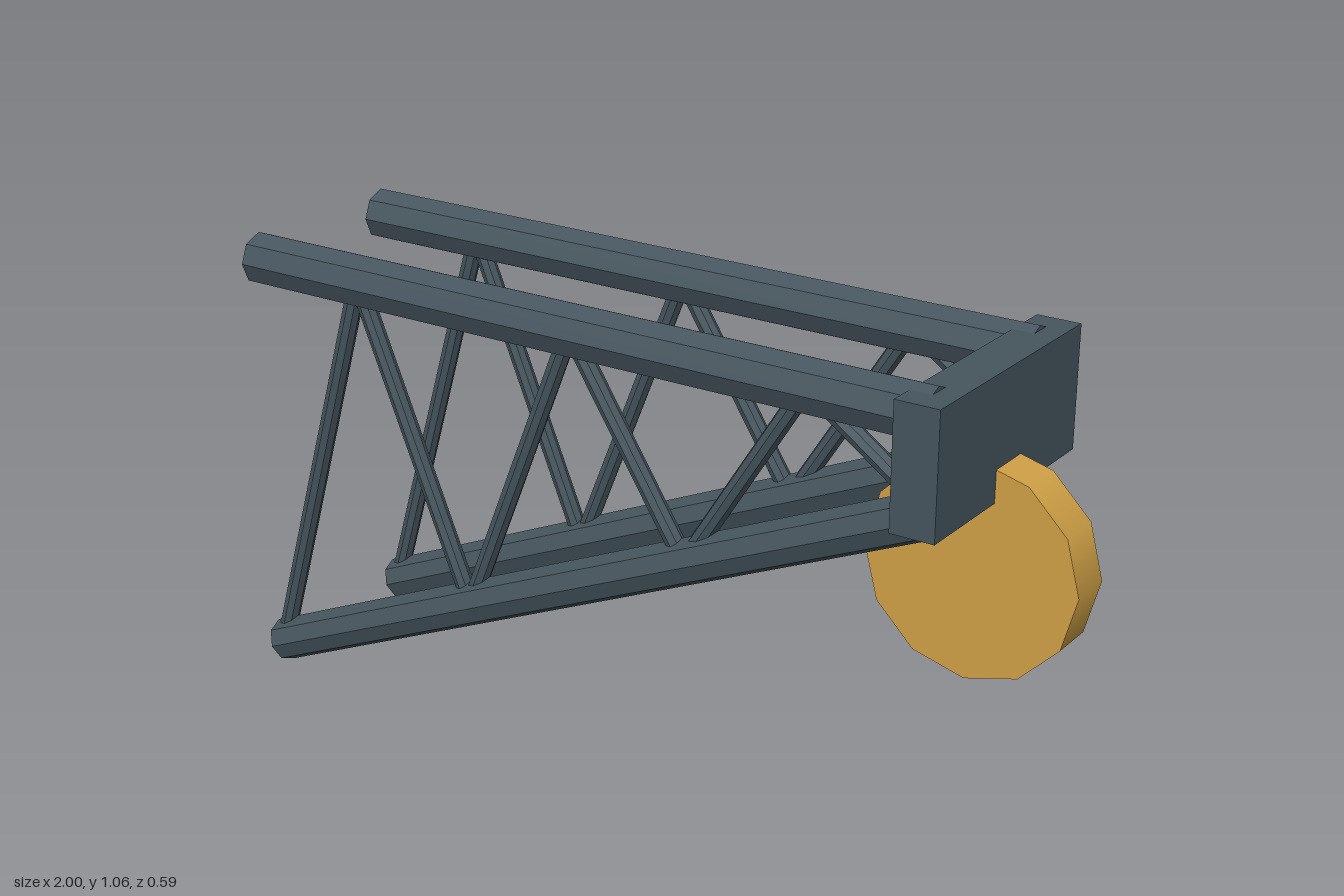
import * as THREE from 'three';

const steel = new THREE.MeshStandardMaterial({ color: 0x46555e, flatShading: true });
steel.name = 'slate steel';
const brass = new THREE.MeshStandardMaterial({ color: 0xd0a146 });
brass.name = 'brass';

// Straight bar between two points of the xy plane
function bar(name, a, b, radius, sides) {
  const dir = new THREE.Vector2().subVectors(b, a);
  const geo = new THREE.CylinderGeometry(radius, radius, dir.length(), sides);
  const mesh = new THREE.Mesh(geo, steel);
  mesh.name = name;
  mesh.position.set((a.x + b.x) / 2, (a.y + b.y) / 2, 0);
  mesh.rotation.z = dir.angle() - Math.PI / 2;
  return mesh;
}

const P = (x, y) => new THREE.Vector2(x, y);
const X0 = -0.98, X1 = 0.755, TOP = 1.003;
const lower = t => P(X0 + (X1 - X0) * t, 0.046 + 0.754 * t);
const upper = t => P(X0 + (X1 - X0) * t, TOP);

// One side truss: two chords joined by zigzag braces
function truss(name, z) {
  const g = new THREE.Group();
  g.name = name;
  g.add(bar('topChord', upper(0), upper(1), 0.06, 8));
  g.add(bar('lowerChord', lower(0), lower(1), 0.051, 8));
  for (let i = 0; i < 6; i++) {
    const node = k => (k % 2 ? upper(k / 6) : lower(k / 6));
    g.add(bar('brace', node(i), node(i + 1), 0.021, 8));
  }
  g.position.z = z;
  return g;
}

export function createModel() {
  const model = new THREE.Group();
  model.name = 'trussArm';
  model.add(truss('leftTruss', 0.21), truss('rightTruss', -0.21));

  // Head block tying the trusses together
  const head = new THREE.Mesh(new THREE.BoxGeometry(0.1, 0.275, 0.59), steel);
  head.name = 'headBlock';
  head.position.set(X1, 0.915, 0);
  model.add(head);

  // Pulley wheel under the head block
  const wheel = new THREE.Mesh(
    new THREE.CylinderGeometry(0.242, 0.242, 0.104, 12).rotateX(Math.PI / 2), brass);
  wheel.name = 'pulleyWheel';
  wheel.position.set(0.757, 0.62, 0);
  model.add(wheel);
  return model;
}
